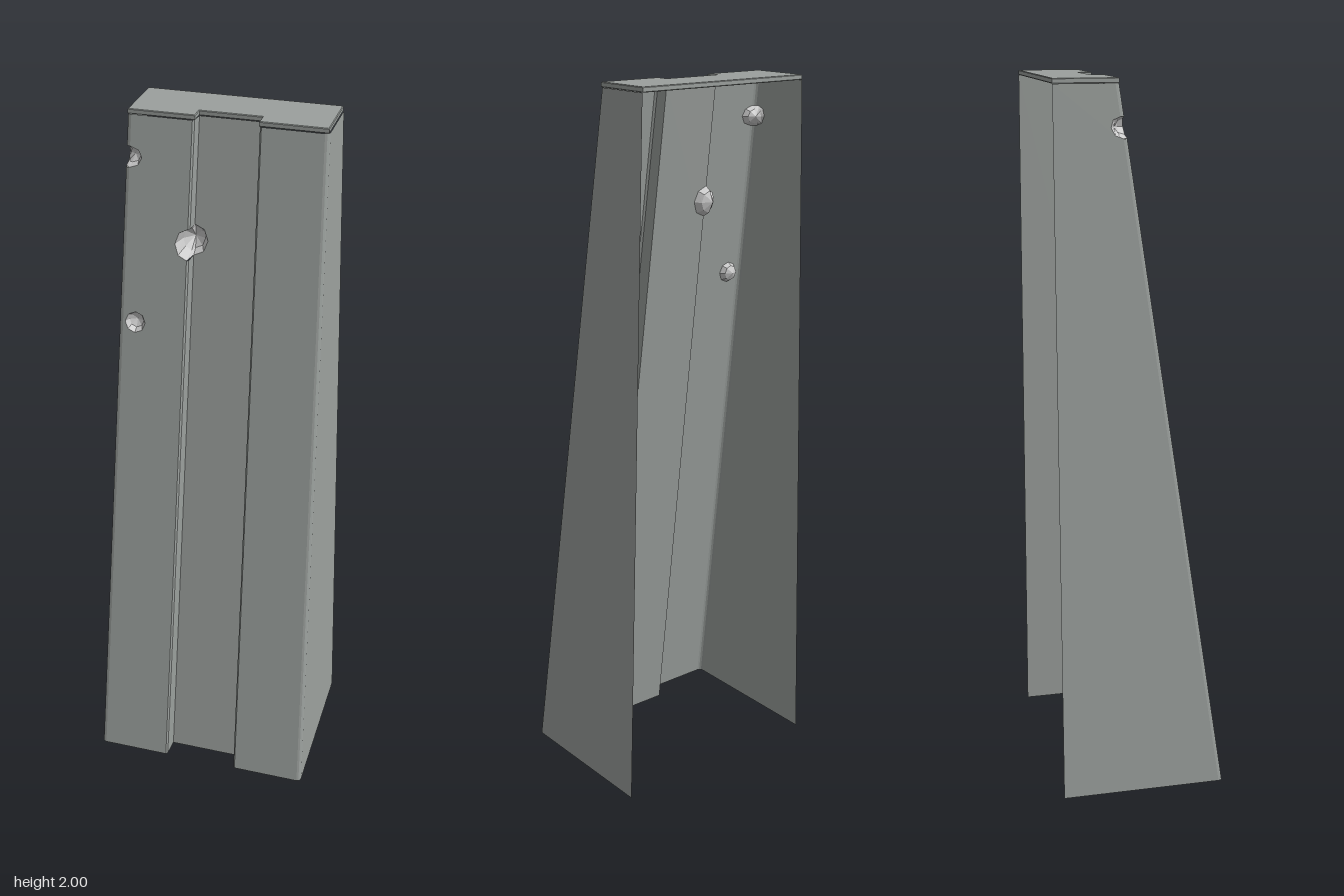
import * as THREE from 'three';
import { mergeGeometries } from 'three/addons/utils/BufferGeometryUtils.js';

const TOP = 1.986, R = 0.012;
const mix = THREE.MathUtils.lerp;

// Horizontal cross-section of the tapering shell at height y, left to right seen from the front
function section(y) {
  const t = y / 2;
  const edge = mix(0.325, 0.27, t), front = mix(0.235, -0.062, t);
  const groove = mix(0.108, 0.087, t), floor = mix(0.18, -0.1, t);
  const half = [[-edge, -0.235]];
  for (let k = 0; k <= 3; k++) {
    const a = Math.PI - (k * Math.PI) / 6;
    half.push([-edge + R + R * Math.cos(a), front - R + R * Math.sin(a)]);
  }
  half.push([-groove - 0.005, front], [-groove, front - 0.005], [-groove + 0.003, floor]);
  return [...half, ...half.map(([x, z]) => [-x, z]).reverse()];
}

// Point on facet i: u runs across the facet from 0 to 1
function place(i, u, y) {
  const s = section(y), a = s[i], b = s[i + 1];
  return new THREE.Vector3(mix(a[0], b[0], u), y, mix(a[1], b[1], u));
}

// Arc of [u, y] points, angles in degrees
function arc(u, y, ru, ry, from, to, n) {
  return Array.from({ length: n + 1 }, (_, k) => {
    const a = THREE.MathUtils.degToRad(mix(from, to, k / n));
    return [u + ru * Math.cos(a), y + ry * Math.sin(a)];
  });
}

function soup(points) {
  const g = new THREE.BufferGeometry().setFromPoints(points);
  g.computeVertexNormals();
  return g;
}

// Flat facet with an outline and optional hole, in [u, y]
function panel(i, outline, holes = []) {
  const toV = (list) => list.map(([u, y]) => new THREE.Vector2(u, y));
  const c = toV(outline), h = holes.map(toV);
  const faces = THREE.ShapeUtils.triangulateShape(c, h);
  const all = [c, ...h].flat();
  return soup(faces.flat().map((k) => place(i, all[k].x, all[k].y)));
}

const band = (i, lo, hi) => panel(i, [[0, lo], [1, lo], [1, hi], [0, hi]]);

// Faceted bowl from a rim loop to a deepest point
function bowl(rim, apex) {
  const mid = rim.map((p) => new THREE.Vector3(
    mix(apex.x, p.x, 0.72), mix(apex.y, p.y, 0.72), mix(apex.z, p.z, 0.4)));
  const pts = [];
  rim.forEach((p, k) => {
    const n = (k + 1) % rim.length;
    pts.push(p, rim[n], mid[n], p, mid[n], mid[k], mid[k], mid[n], apex);
  });
  return soup(pts);
}

export function createModel() {
  const group = new THREE.Group();
  const metal = new THREE.MeshStandardMaterial({ color: 0x9ba09d, side: THREE.DoubleSide });
  const bare = new THREE.MeshStandardMaterial({ color: 0xcccccc, side: THREE.DoubleSide, flatShading: true });
  const add = (name, geometry, material) => {
    const mesh = new THREE.Mesh(geometry, material);
    mesh.name = name;
    group.add(mesh);
  };

  // Dent outlines on the facets they touch
  const cornerFront = arc(0, 1.875, 0.2, 0.028, 90, -90, 4);
  const cornerSide = arc(1, 1.875, 0.16, 0.028, 270, 90, 4);
  const grooveFront = arc(1, 1.655, 0.2, 0.043, 270, 90, 4);
  const grooveFloor = arc(0, 1.655, 0.22, 0.043, 90, -90, 4);
  const round = arc(0.2, 1.42, 0.165, 0.03, 0, 360, 8).slice(0, 8);

  // Shell: side, rounded corner, front strip, groove wall, groove floor, then the plain other half
  const facets = [
    panel(0, [[0, 0], [1, 0], ...cornerSide, [1, TOP], [0, TOP]]),
    panel(4, [[0, 0], [1, 0], ...grooveFront, [1, TOP], [0, TOP], ...cornerFront], [round]),
    panel(7, [[0, 0], [1, 0], [1, TOP], [0, TOP], ...grooveFloor]),
  ];
  for (const i of [1, 2, 3]) facets.push(band(i, 0, 1.847), band(i, 1.903, TOP));
  for (const i of [5, 6]) facets.push(band(i, 0, 1.612), band(i, 1.698, TOP));
  for (let i = 8; i <= 14; i++) facets.push(band(i, 0, TOP));
  add('shell', mergeGeometries(facets), metal);

  // Top plate with the groove notched out of its front edge
  const e = 0.268, n = 0.086, f = 0.062, b = 0.1;
  const outline = [[-e, f], [-n, f], [-n, b], [n, b], [n, f], [e, f], [e, 0.234], [-e, 0.234]];
  const plate = new THREE.ExtrudeGeometry(
    new THREE.Shape(outline.map(([x, y]) => new THREE.Vector2(x, y))),
    { depth: 2 - TOP - 0.004, bevelThickness: 0.002, bevelSize: 0.002, bevelOffset: -0.001, bevelSegments: 1 });
  plate.rotateX(-Math.PI / 2).translate(0, TOP + 0.002, 0);
  add('topPlate', plate, metal);

  // Dents pressed into the shell
  const at = (i, list) => list.map(([u, y]) => place(i, u, y));
  const deep = (i, u, y, dx, dz) => place(i, u, y).add(new THREE.Vector3(dx, 0, dz));
  add('roundDent', bowl(at(4, round), deep(4, 0.2, 1.42, 0, -0.025)), bare);
  add('cornerDent', bowl([...at(0, cornerSide), ...at(4, cornerFront)],
    deep(4, 0, 1.875, 0.008, -0.028)), bare);
  add('grooveDent', bowl([...at(4, grooveFront), ...at(7, grooveFloor)],
    deep(7, 0, 1.655, -0.004, -0.03)), bare);
  return group;
}
